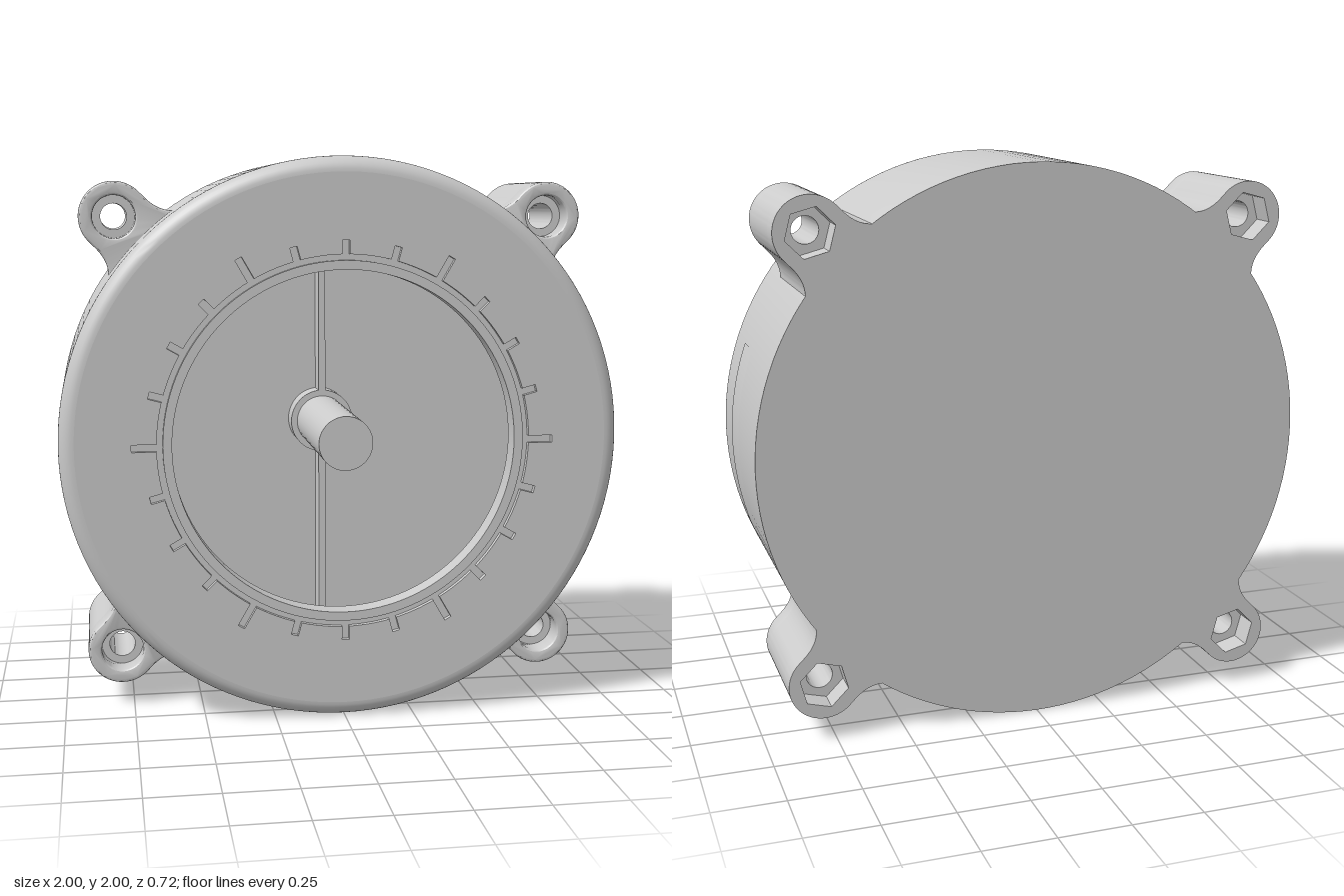
import * as THREE from 'three';
import { toCreasedNormals } from 'three/addons/utils/BufferGeometryUtils.js';

const material = new THREE.MeshStandardMaterial({ color: 0xcccccc });
const BACK = -0.36, FRONT = 0.36, FLOOR = -0.3, RIM = -0.21;

function add(parent, name, geometry, x = 0, y = 0, z = 0) {
  const mesh = new THREE.Mesh(toCreasedNormals(geometry, 0.5), material);
  mesh.name = name;
  mesh.position.set(x, y, z);
  parent.add(mesh);
  return mesh;
}

// solid of revolution about the z axis
function turned(profile, segments) {
  const points = profile.map(([r, z]) => new THREE.Vector2(r, z));
  return new THREE.LatheGeometry(points, segments).rotateX(Math.PI / 2);
}

function circlePath(r, sides = 0) {
  const path = new THREE.Path();
  if (!sides) return path.absarc(0, 0, r, 0, Math.PI * 2, true);
  for (let i = 0; i < sides; i++) {
    const a = -i * Math.PI * 2 / sides;
    if (i) path.lineTo(r * Math.cos(a), r * Math.sin(a));
    else path.moveTo(r, 0);
  }
  path.closePath();
  return path;
}

// engraved dial outline: circle with radial ticks, long ones every 60 degrees
function dialOutline() {
  const r = 0.663, half = 0.013, points = [];
  const step = Math.PI / 12;
  for (let k = 0; k < 24; k++) {
    const a = k * step, c = Math.cos(a), s = Math.sin(a);
    const end = k % 4 === 0 ? 0.75 : 0.712;
    for (const [u, v] of [[r, -half], [end, -half], [end, half], [r, half]])
      points.push(new THREE.Vector2(u * c - v * s, u * s + v * c));
    for (let j = 1; j < 5; j++) {
      const b = a + step * j / 5;
      points.push(new THREE.Vector2(r * Math.cos(b), r * Math.sin(b)));
    }
  }
  return new THREE.Path(points);
}

// lug outline around its screw hole, with flared neck reaching into the body at -x
function lugShape(hole) {
  const r = 0.125, shape = new THREE.Shape();
  shape.moveTo(-0.19, -0.17);
  shape.lineTo(-0.138, -0.17);
  shape.quadraticCurveTo(-0.1, -0.125, -0.03, -r);
  shape.lineTo(0, -r);
  shape.absarc(0, 0, r, -Math.PI / 2, Math.PI / 2, false);
  shape.lineTo(-0.03, r);
  shape.quadraticCurveTo(-0.1, 0.125, -0.138, 0.17);
  shape.lineTo(-0.19, 0.17);
  shape.closePath();
  shape.holes.push(hole);
  return shape;
}

function makeLug() {
  const lug = new THREE.Group();
  const layer = (name, hole, z0, z1) => add(lug, name,
    new THREE.ExtrudeGeometry(lugShape(hole), { depth: z1 - z0, bevelEnabled: false, curveSegments: 24 }), 0, 0, z0);
  layer('lugNutPocket', circlePath(0.088, 6), BACK, -0.27);
  layer('lugBore', circlePath(0.047), -0.27, 0.025);
  // counterbored front end with a softened edge
  const b = 0.012;
  add(lug, 'lugCounterbore', new THREE.ExtrudeGeometry(lugShape(circlePath(0.076)), {
    depth: 0.1 - 2 * b, bevelThickness: b, bevelSize: b, bevelOffset: -b, bevelSegments: 3, curveSegments: 24,
  }), 0, 0, 0.01 + b);
  return lug;
}

export function createModel() {
  const model = new THREE.Group();
  model.name = 'dialHousing';
  const dial = new THREE.Group();
  dial.position.y = 1;
  model.add(dial);

  // hollow round case: back, rounded front edge, dial groove floor, opening lip, cavity
  const profile = [[0, BACK], [1, BACK], [1, FRONT - 0.055]];
  for (let i = 1; i <= 8; i++) {
    const a = i / 8 * Math.PI / 2;
    profile.push([0.945 + 0.055 * Math.cos(a), FRONT - 0.055 + 0.055 * Math.sin(a)]);
  }
  profile.push([0.944, 0.34], [0.642, 0.34], [0.642, FRONT], [0.61, FRONT], [0.61, 0.28],
    [0.88, 0.28], [0.88, RIM], [0.86, RIM], [0.86, FLOOR], [0, FLOOR]);
  add(dial, 'case', turned(profile, 128));

  // face plate with the dial scale cut through to the groove floor
  const face = new THREE.Shape();
  face.absarc(0, 0, 0.945, 0, Math.PI * 2, false);
  face.holes.push(dialOutline());
  add(dial, 'facePlate', new THREE.ExtrudeGeometry(face,
    { depth: 0.02, bevelEnabled: false, curveSegments: 64 }), 0, 0, 0.34);

  // centre post standing on a collar
  add(dial, 'centrePost', turned([[0.12, FLOOR], [0.12, RIM], [0.097, RIM], [0.097, FRONT], [0, FRONT]], 48));

  for (const side of [1, -1]) {
    // thin upright ribs between collar and cavity wall
    add(dial, 'floorRib', new THREE.BoxGeometry(0.026, 0.76, RIM - FLOOR), 0, side * 0.485, (RIM + FLOOR) / 2);
    // slightly raised side tabs
    const arc = 0.705;
    add(dial, 'sideTab', new THREE.CylinderGeometry(1.002, 1, 0.14, 24, 1, true,
      side * Math.PI / 2 - arc / 2, arc).rotateX(Math.PI / 2), 0, 0, 0.07);
  }

  // four screw lugs on the diagonals
  for (let i = 0; i < 4; i++) {
    const a = Math.PI / 4 + i * Math.PI / 2;
    const lug = makeLug();
    lug.name = 'screwLug';
    lug.position.set(1.117 * Math.cos(a), 1.117 * Math.sin(a), 0);
    lug.rotation.z = a;
    dial.add(lug);
  }
  return model;
}
